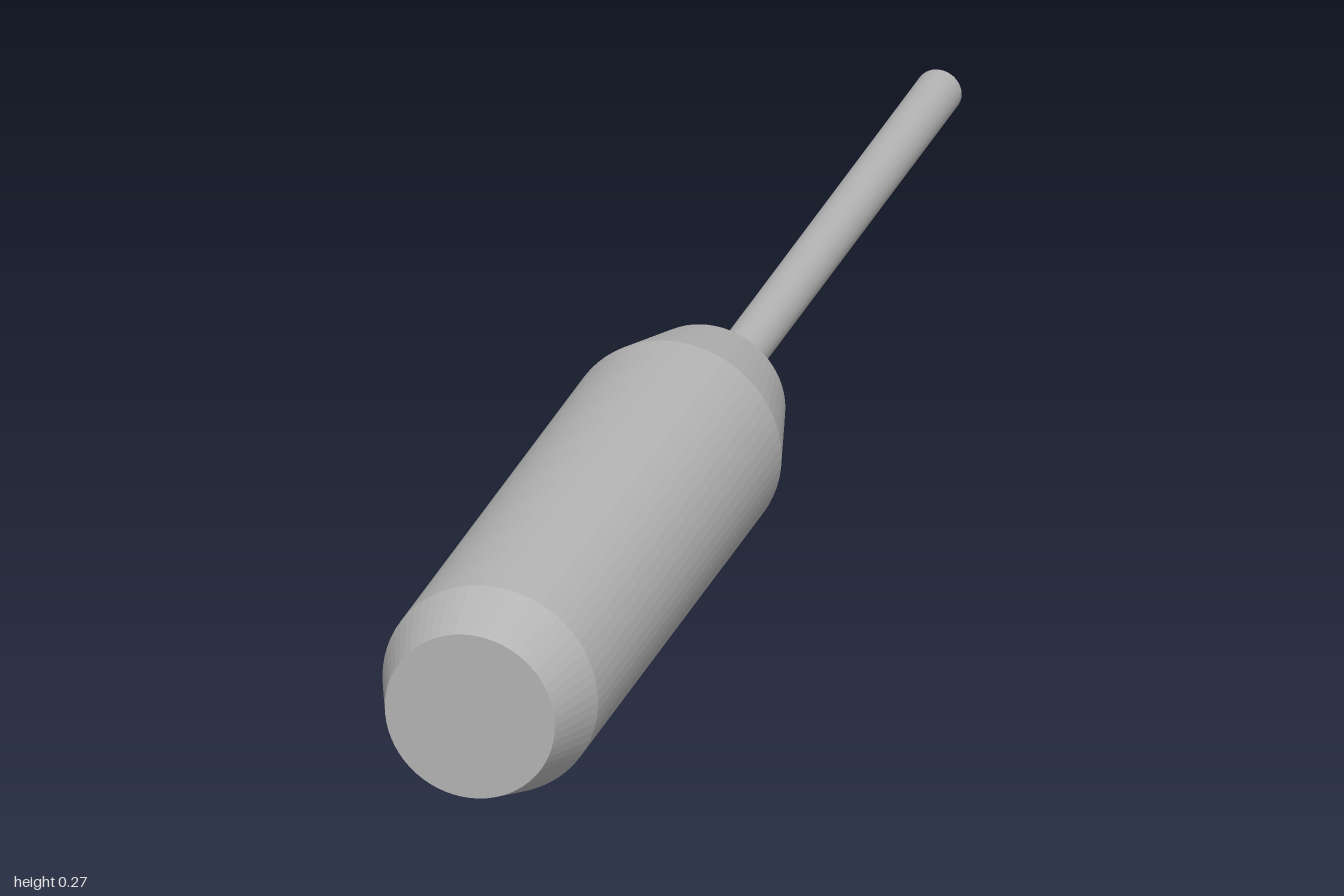
import * as THREE from 'three';

const AXIS_Y = 0.137; // height of the tool's long axis
const SIDES = 64;

// Turn a [radius, z] profile (back to front) around the z axis, with flat facets
function turned(name, profile, material) {
  const points = profile.map(([r, z]) => new THREE.Vector2(r, z));
  const geometry = new THREE.LatheGeometry(points, SIDES).rotateX(Math.PI / 2).toNonIndexed();
  geometry.computeVertexNormals();
  const mesh = new THREE.Mesh(geometry, material);
  mesh.name = name;
  mesh.position.y = AXIS_Y;
  return mesh;
}

export function createModel() {
  const grey = new THREE.MeshStandardMaterial({ color: 0xb4b4b4 });
  grey.name = 'grey';

  const model = new THREE.Group();
  model.name = 'handTool';

  // Handle: long taper towards the shaft, straight grip, short chamfer at the butt
  model.add(turned('handle', [
    [0, -0.017], [0.098, -0.017], [0.137, 0.13], [0.137, 0.913], [0.108, 1], [0, 1],
  ], grey));

  // Slim round shaft, seated in the handle
  model.add(turned('shaft', [
    [0, -1], [0.029, -1], [0.029, 0.02], [0, 0.02],
  ], grey));

  return model;
}
